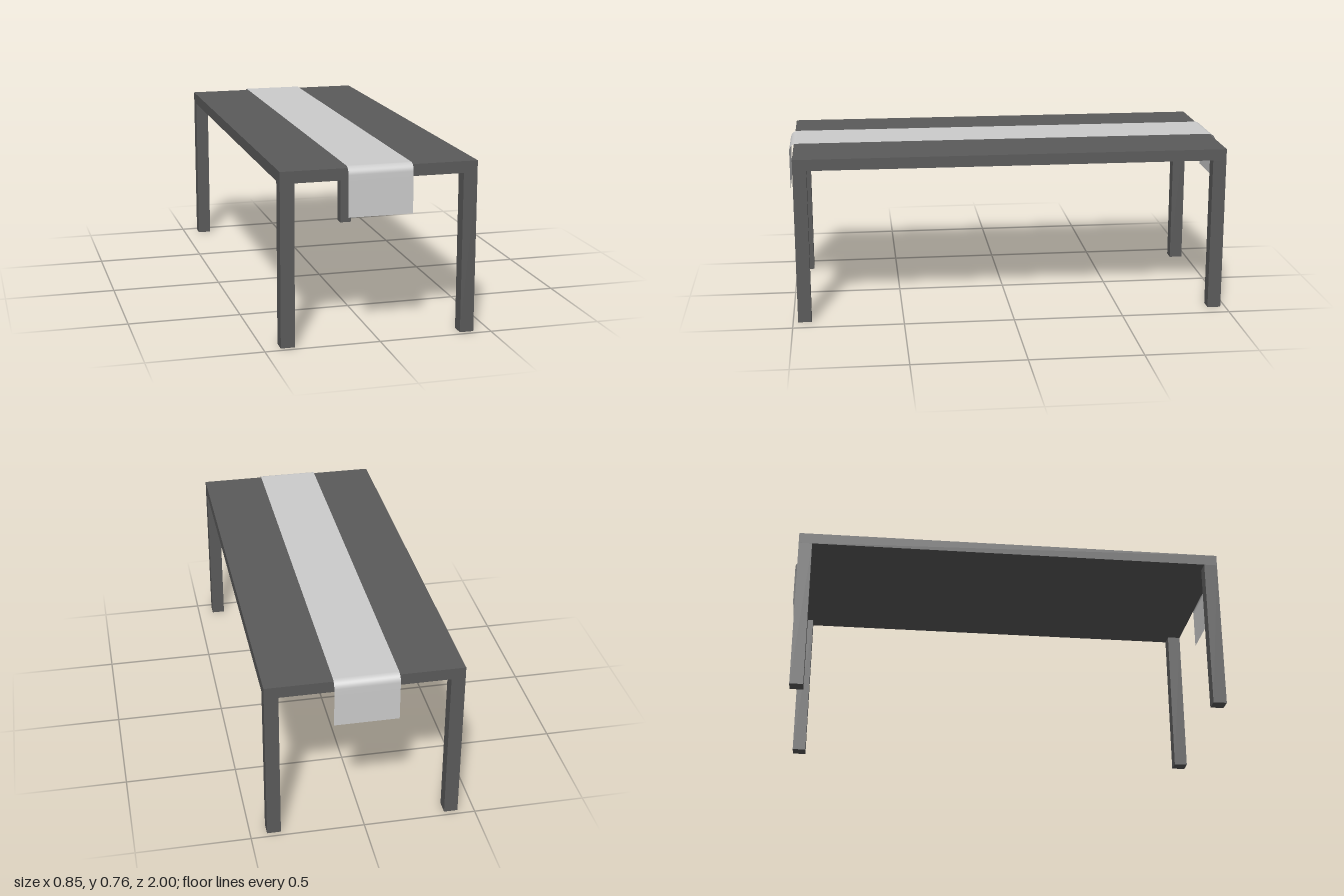
import * as THREE from 'three';

const W = 0.854, L = 1.955, H = 0.755, T = 0.051, LEG = 0.061;

export function createModel() {
  const group = new THREE.Group();
  const dark = new THREE.MeshStandardMaterial({ color: 0x5a5a5a });
  const cloth = new THREE.MeshStandardMaterial({ color: 0xcccccc, side: THREE.DoubleSide });

  const addBox = (name, w, h, d, x, y, z) => {
    const mesh = new THREE.Mesh(new THREE.BoxGeometry(w, h, d), dark);
    mesh.name = name;
    mesh.position.set(x, y, z);
    group.add(mesh);
  };

  // Flat top, with a square leg flush at each corner
  addBox('tableTop', W, T, L, 0, H - T / 2, 0);
  for (const sx of [-1, 1]) {
    for (const sz of [-1, 1]) {
      addBox(`${sz > 0 ? 'front' : 'back'}${sx > 0 ? 'Left' : 'Right'}Leg`,
        LEG, H - T, LEG, sx * (W - LEG) / 2, (H - T) / 2, sz * (L - LEG) / 2);
    }
  }

  // Half profile of the cloth as [z, y]: flat, rounded over the table edge, hanging
  const top = 0.763, hem = 0.55, end = 0.999, r = 0.034;
  const half = [[0.4, top]];
  for (let i = 0; i <= 8; i++) {
    const a = (i / 8) * Math.PI / 2;
    half.push([end - r + r * Math.sin(a), top - r + r * Math.cos(a)]);
  }
  half.push([end, 0.7], [end, hem]);
  const profile = [...half.map(([z, y]) => [-z, y]).reverse(), ...half];

  // Thin runner: a plane whose rows follow the profile from back to front
  const geo = new THREE.PlaneGeometry(0.28, 1, 1, profile.length - 1);
  const pos = geo.attributes.position;
  for (let i = 0; i < pos.count; i++) {
    const [z, y] = profile[Math.floor(i / 2)];
    pos.setXYZ(i, pos.getX(i) - 0.003, y, z);
  }
  geo.computeVertexNormals();
  const runner = new THREE.Mesh(geo, cloth);
  runner.name = 'tableRunner';
  group.add(runner);

  return group;
}
